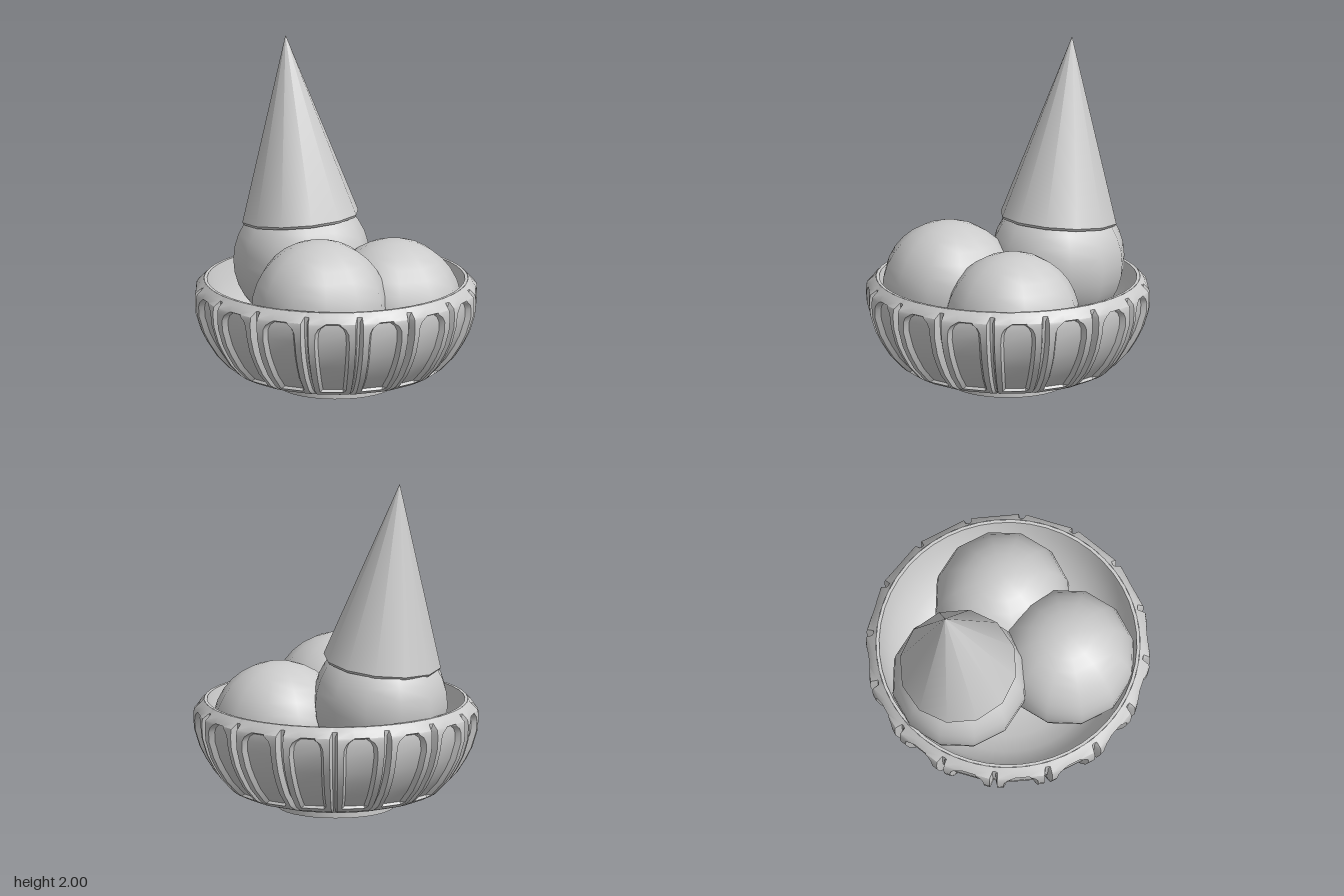
import * as THREE from 'three';
import { toCreasedNormals } from 'three/addons/utils/BufferGeometryUtils.js';

const LOBES = 16;
const grey = new THREE.MeshStandardMaterial({ color: 0xcccccc });

function part(name, geometry, crease) {
  const mesh = new THREE.Mesh(crease ? toCreasedNormals(geometry, crease) : geometry, grey);
  mesh.name = name;
  return mesh;
}

function lathe(points, segments) {
  return new THREE.LatheGeometry(points.map(([x, y]) => new THREE.Vector2(x, y)), segments);
}

// Bowl rows: height, lobe radius, groove radius, panel half width, panel depth, lobe flatness
const ROWS = [
  [0.04, 0.34, 0.34, 0.04, 0, 0],
  [0.055, 0.44, 0.425, 0.05, 0, 0.5],
  [0.085, 0.545, 0.515, 0.065, 0, 1],
  [0.115, 0.605, 0.57, 0.075, 0, 1],
  [0.13, 0.625, 0.59, 0.077, 0.03, 1],
  [0.21, 0.7, 0.665, 0.085, 0.03, 1],
  [0.29, 0.75, 0.715, 0.092, 0.03, 1],
  [0.36, 0.785, 0.75, 0.097, 0.03, 1],
  [0.46, 0.815, 0.78, 0.102, 0.03, 1],
  [0.52, 0.82, 0.787, 0.098, 0.03, 1],
  [0.55, 0.82, 0.79, 0.083, 0.03, 1],
  [0.57, 0.818, 0.79, 0.055, 0.03, 1],
  [0.582, 0.815, 0.79, 0.05, 0, 1],
  [0.615, 0.795, 0.79, 0.05, 0, 0],
  [0.64, 0.77, 0.77, 0.05, 0, 0],
];

// One ring of the bowl: each lobe is flat with a sunken panel, and grooves lie between lobes
function bowlRing([y, lobe, groove, width, depth, flat]) {
  const ring = [];
  const half = Math.PI / LOBES;
  const outer = width / lobe;
  const inner = (width - 0.016) / lobe;
  const edge = half * 0.86;
  const onLobe = (a) => lobe * (1 + flat * (1 / Math.cos(a) - 1));
  const columns = [
    [-half, groove], [-half * 0.95, groove], [-edge, onLobe(edge)],
    [-outer, onLobe(outer)], [-inner, onLobe(inner) - depth],
    [inner, onLobe(inner) - depth], [outer, onLobe(outer)],
    [edge, onLobe(edge)], [half * 0.95, groove],
  ];
  for (let i = 0; i < LOBES; i++) {
    for (const [a, r] of columns) {
      const angle = a + 2 * half * i;
      ring.push([r * Math.sin(angle), y, r * Math.cos(angle)]);
    }
  }
  return ring;
}

function bowlShell() {
  const rings = ROWS.map(bowlRing);
  const n = rings[0].length;
  const index = [];
  for (let j = 0; j < rings.length - 1; j++) {
    for (let i = 0; i < n; i++) {
      const a = j * n + i;
      const b = j * n + (i + 1) % n;
      index.push(a, b, b + n, a, b + n, a + n);
    }
  }
  const geometry = new THREE.BufferGeometry();
  geometry.setAttribute('position', new THREE.Float32BufferAttribute(rings.flat(2), 3));
  geometry.setIndex(index);
  return geometry;
}

export function createModel() {
  const model = new THREE.Group();
  model.name = 'iceCreamBowl';

  // Bowl: lobed shell, smooth inside with rim, hollow foot ring
  const bowl = new THREE.Group();
  bowl.name = 'bowl';
  const lining = [[0.77, 0.64], [0.752, 0.64], [0.73, 0.54], [0.69, 0.43],
    [0.62, 0.31], [0.52, 0.22], [0.4, 0.16], [0.25, 0.13], [0, 0.12]];
  const foot = [[0, 0.035], [0.28, 0.035], [0.285, 0], [0.34, 0], [0.34, 0.05]];
  bowl.add(
    part('lobedShell', bowlShell(), 0.5),
    part('bowlLining', lathe(lining, 48), 0.6),
    part('footRing', lathe(foot, 32), 0.6),
  );
  model.add(bowl);

  // Three scoops
  const scoops = {
    frontScoop: [0.05, 0.555, 0.345],
    leftScoop: [0.31, 0.475, -0.13],
    rightScoop: [-0.31, 0.68, -0.2],
  };
  for (const [name, position] of Object.entries(scoops)) {
    const scoop = part(name, new THREE.SphereGeometry(0.4, 12, 16));
    scoop.position.set(...position);
    model.add(scoop);
  }

  // Upturned cone leaning on the highest scoop
  const base = new THREE.Vector3(-0.32, 0.922, -0.205);
  const axis = new THREE.Vector3(-0.435, 2, -0.25).sub(base);
  const profile = [[0, -0.01], [0.335, -0.01], [0.346, 0.006], [0, axis.length()]];
  const cone = part('waferCone', lathe(profile, 12).rotateY(0.1), 0.6);
  cone.position.copy(base);
  cone.quaternion.setFromUnitVectors(new THREE.Vector3(0, 1, 0), axis.normalize());
  model.add(cone);

  return model;
}
